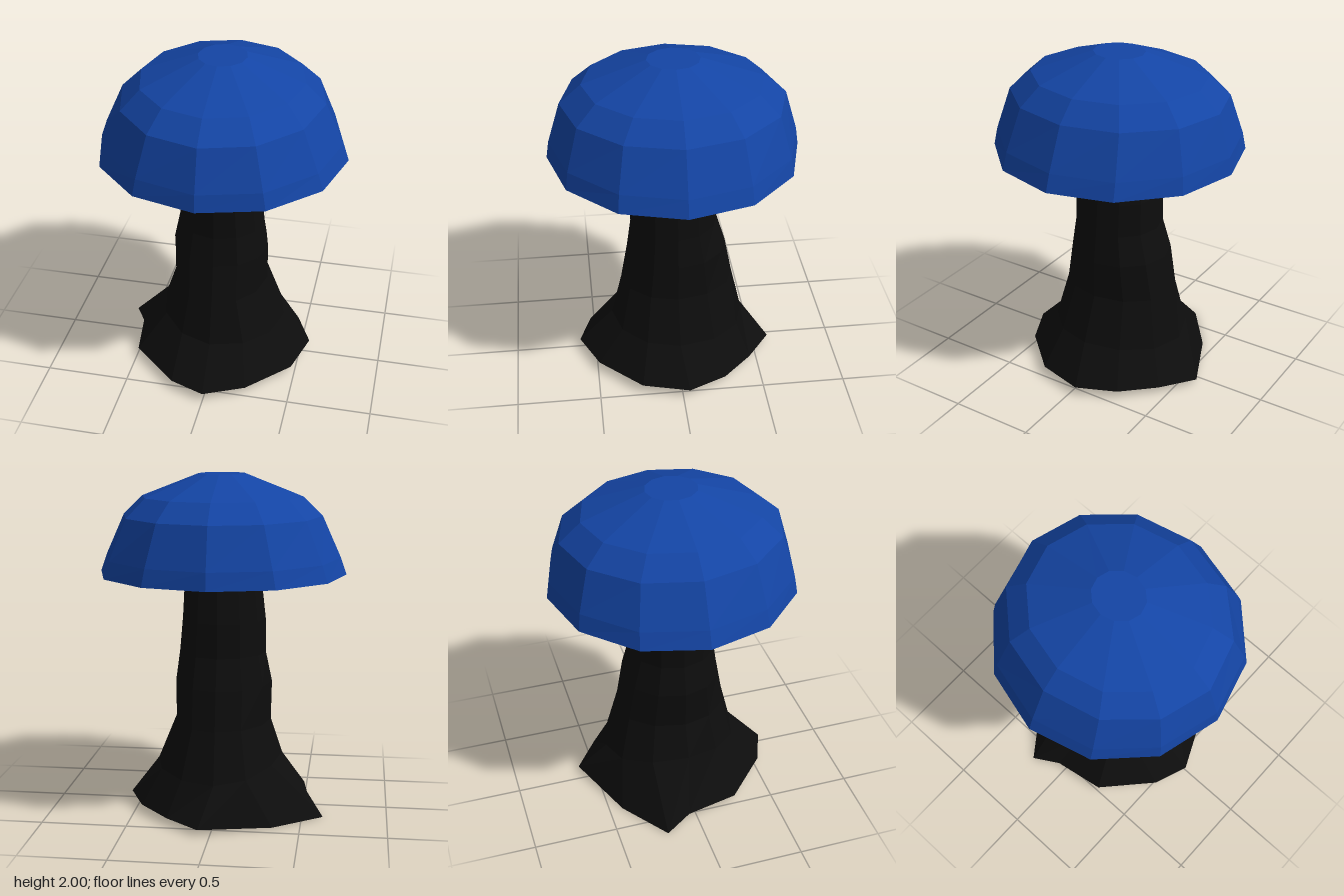
import * as THREE from 'three';

const SIDES = 12;

// Horizontal ring with its own reach (and height) toward +x, +z, -x and -z
function ring(reach, heights) {
  const [px, pz, nx, nz] = reach;
  const [hx, hz, hnx, hnz] = Array.isArray(heights) ? heights : Array(4).fill(heights);
  return Array.from({ length: SIDES }, (_, i) => {
    const a = (i / SIDES) * Math.PI * 2;
    const c = Math.cos(a), s = Math.sin(a);
    const y = c * c * (c > 0 ? hx : hnx) + s * s * (s > 0 ? hz : hnz);
    return [c * (c > 0 ? px : nx), y, s * (s > 0 ? pz : nz)];
  });
}

// Skin a stack of rings (bottom to top), with optional end centres
function loft(name, color, rings, bottom, top) {
  const pos = [];
  const tri = (...pts) => pts.forEach((p) => pos.push(...p));
  for (let j = 0; j < SIDES; j++) {
    const k = (j + 1) % SIDES;
    for (let i = 0; i < rings.length - 1; i++) {
      const lo = rings[i], hi = rings[i + 1];
      tri(lo[j], hi[j], lo[k]);
      tri(lo[k], hi[j], hi[k]);
    }
    const last = rings[rings.length - 1];
    if (bottom) tri(bottom, rings[0][j], rings[0][k]);
    if (top) tri(top, last[k], last[j]);
  }
  const geo = new THREE.BufferGeometry();
  geo.setAttribute('position', new THREE.Float32BufferAttribute(pos, 3));
  geo.computeVertexNormals();
  const mesh = new THREE.Mesh(geo, new THREE.MeshStandardMaterial({ color, flatShading: true }));
  mesh.name = name;
  return mesh;
}

export function createModel() {
  const group = new THREE.Group();
  group.name = 'mushroom';

  // Faceted cap, slightly longer in z toward the top
  const capRings = [
    [0.73, 0.73, 1.42], [0.695, 0.715, 1.52], [0.587, 0.643, 1.76],
    [0.473, 0.518, 1.87], [0.14, 0.152, 2.0],
  ].map(([x, z, y]) => ring([x, z, x, z], y));
  group.add(loft('cap', 0x1445a5, capRings, null, [0, 2, 0]));

  // Shallow hollow beneath the cap
  group.add(loft('capUnderside', 0x1a5c0e, [capRings[0]], [0, 1.55, 0], null));

  // Irregular splayed foot
  const foot = [
    [0.555, 0.055, -0.04], [0.48, 0.055, 0.24], [0.24, 0.055, 0.49], [0, 0.055, 0.6],
    [-0.21, 0.055, 0.52], [-0.49, 0.055, 0.26], [-0.54, 0.035, -0.05], [-0.625, 0, -0.21],
    [-0.34, 0, -0.42], [0.07, 0.035, -0.6], [0.27, 0.04, -0.45], [0.45, 0.05, -0.27],
  ];

  // Stem rising from the foot into the cap
  const stemRings = [
    foot,
    ring([0.39, 0.39, 0.365, 0.43], [0.27, 0.27, 0.33, 0.24]),
    ring([0.28, 0.325, 0.295, 0.36], 0.54),
    ring([0.28, 0.285, 0.3, 0.315], 0.77),
    ring([0.255, 0.26, 0.262, 0.26], 0.95),
    ring([0.237, 0.26, 0.26, 0.257], 1.15),
    ring([0.222, 0.23, 0.23, 0.227], 1.42),
    ring([0.215, 0.225, 0.225, 0.22], 1.54),
  ];
  group.add(loft('stem', 0x0d0d0d, stemRings, [0, 0.04, 0], [0, 1.54, 0]));

  return group;
}
